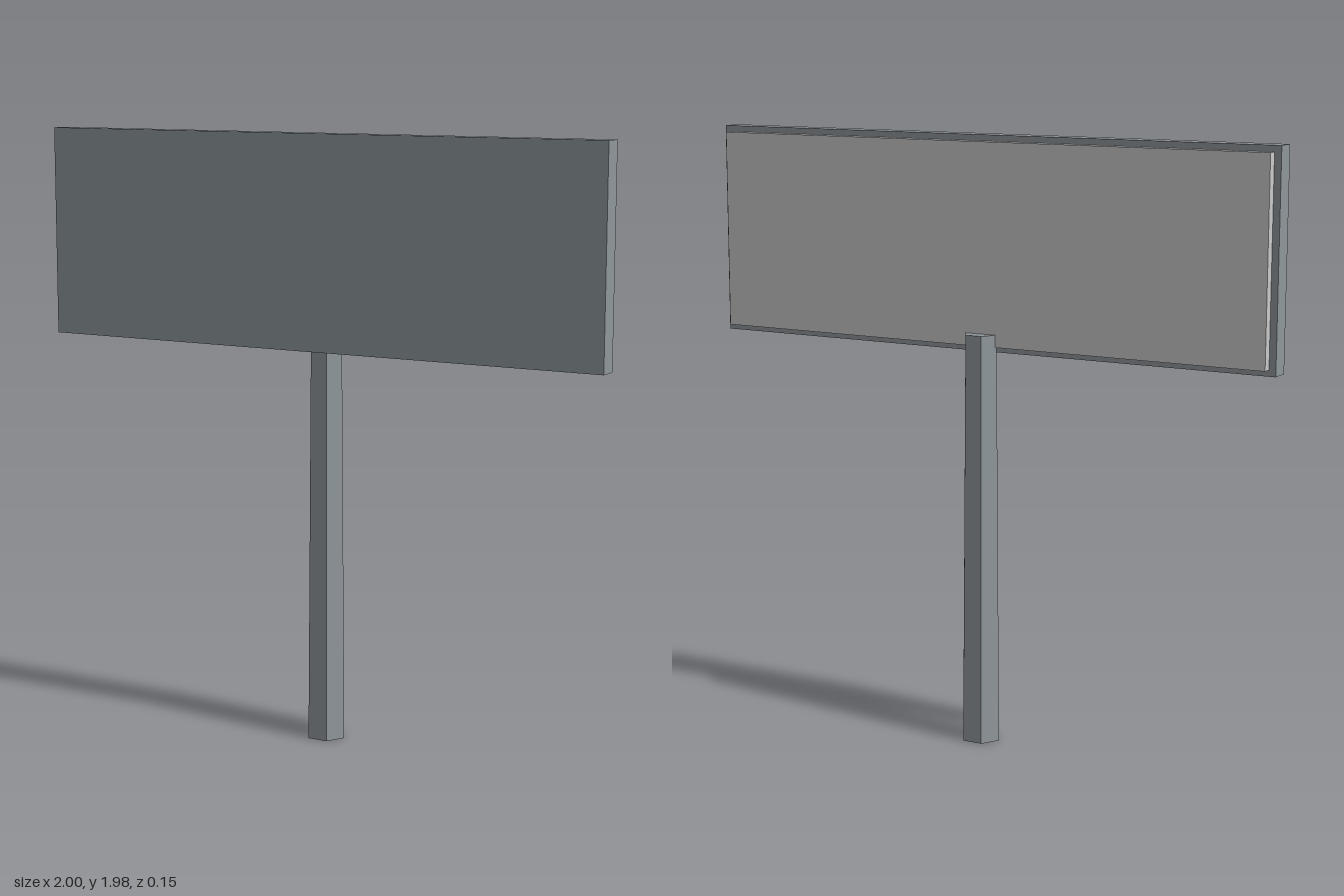
import * as THREE from 'three';

export function createModel() {
  const model = new THREE.Group();
  const metal = new THREE.MeshStandardMaterial({ color: 0x90989c, flatShading: true });
  const pale = new THREE.MeshStandardMaterial({ color: 0xd0cfcc, flatShading: true });

  function add(name, geometry, material, x, y, z) {
    const mesh = new THREE.Mesh(geometry, material);
    mesh.name = name;
    mesh.position.set(x, y, z);
    model.add(mesh);
  }

  // Tapered hexagonal post, flat sides to front and back
  const post = new THREE.CylinderGeometry(0.057, 0.068, 1.35, 6).rotateY(Math.PI / 6);
  add('post', post, metal, 0, 0.675, -0.015);

  // Wide sign board at the front
  add('signBoard', new THREE.BoxGeometry(2, 0.69, 0.065), metal, 0, 1.635, 0.0425);

  // Slightly smaller pale panel behind the board
  add('backPanel', new THREE.BoxGeometry(1.955, 0.65, 0.03), pale, 0, 1.635, -0.005);

  return model;
}
